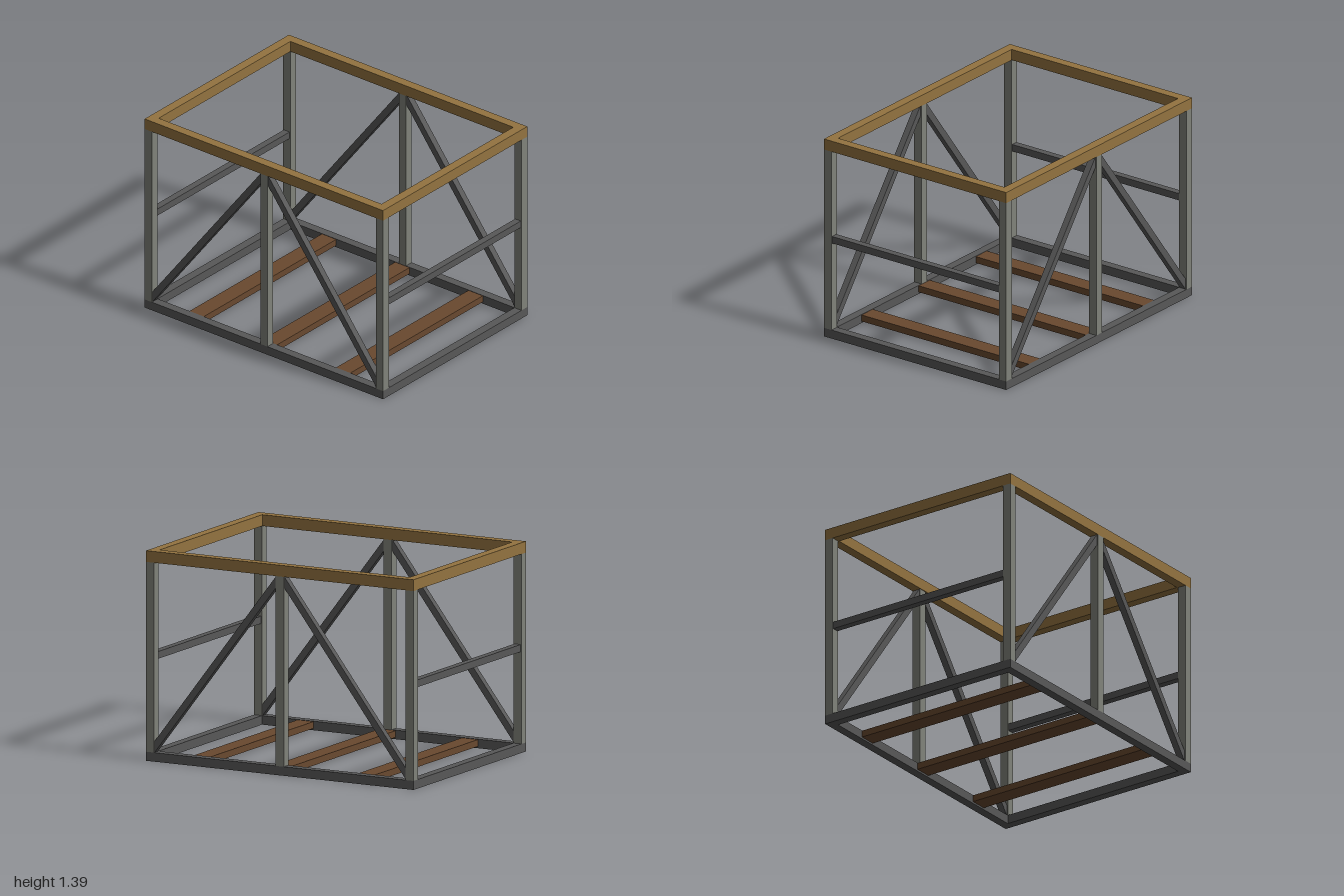
import * as THREE from 'three';

const W = 1, D = 0.745;          // half width, half depth
const T = 0.06;                  // frame bar thickness
const TOP = 1.32;                // underside of the wooden top frame

const material = (color) => new THREE.MeshStandardMaterial({ color, flatShading: true });

export function createModel() {
  const group = new THREE.Group();
  const postMat = material(0x80827a);
  const steelMat = material(0x585858);
  const timberMat = material(0x937340);
  const slatMat = material(0x69492f);

  const add = (name, geometry, mat) => {
    const mesh = new THREE.Mesh(geometry, mat);
    mesh.name = name;
    group.add(mesh);
    return mesh;
  };
  // Bar given by its size and centre
  const bar = (name, mat, w, h, d, x, y, z) =>
    add(name, new THREE.BoxGeometry(w, h, d), mat).position.set(x, y, z);

  // Diagonal brace with ends cut upright against the posts
  const braceShape = (s) => new THREE.Shape([
    new THREE.Vector2(s * (W - T), T),
    new THREE.Vector2(s * (W - T), T + 0.075),
    new THREE.Vector2(s * T / 2, TOP),
    new THREE.Vector2(s * T / 2, TOP - 0.075),
  ]);
  const braceDepth = 0.045;

  for (const s of [1, -1]) {
    const end = s > 0 ? 'front' : 'back';
    const side = s > 0 ? 'left' : 'right';
    const z = s * (D - T / 2), x = s * (W - T / 2);

    // Base frame
    bar(end + 'BaseRail', steelMat, 2 * W, T, T, 0, T / 2, z);
    bar(side + 'BaseRail', steelMat, T, T, 2 * (D - T), x, T / 2, 0);

    // Middle rail on each short side
    bar(side + 'MiddleRail', steelMat, 0.048, 0.048, 2 * (D - T), x, 0.695, 0);

    // Wooden top frame
    const tw = 0.065, th = 0.075;
    bar(end + 'TopRail', timberMat, 2 * W, th, tw, 0, TOP + th / 2, s * (D - tw / 2));
    bar(side + 'TopRail', timberMat, tw, th, 2 * (D - tw), s * (W - tw / 2), TOP + th / 2, 0);

    // Posts at the corners and the middle of each long side
    for (const px of [-1, 0, 1]) {
      bar(end + (px ? 'CornerPost' : 'MiddlePost'), postMat,
        T, TOP - T, T, px * (W - T / 2), (TOP + T) / 2, z);
    }

    // Pair of diagonal braces on each long side
    for (const b of [1, -1]) {
      const geometry = new THREE.ExtrudeGeometry(braceShape(b), { depth: braceDepth, bevelEnabled: false });
      add(end + 'Brace', geometry, steelMat).position.z = z - braceDepth / 2;
    }
  }

  // Floor slats
  for (const x of [-0.615, 0, 0.615]) {
    bar('floorSlat', slatMat, 0.12, 0.045, 2 * (D - T), x, 0.035, 0);
  }

  return group;
}
